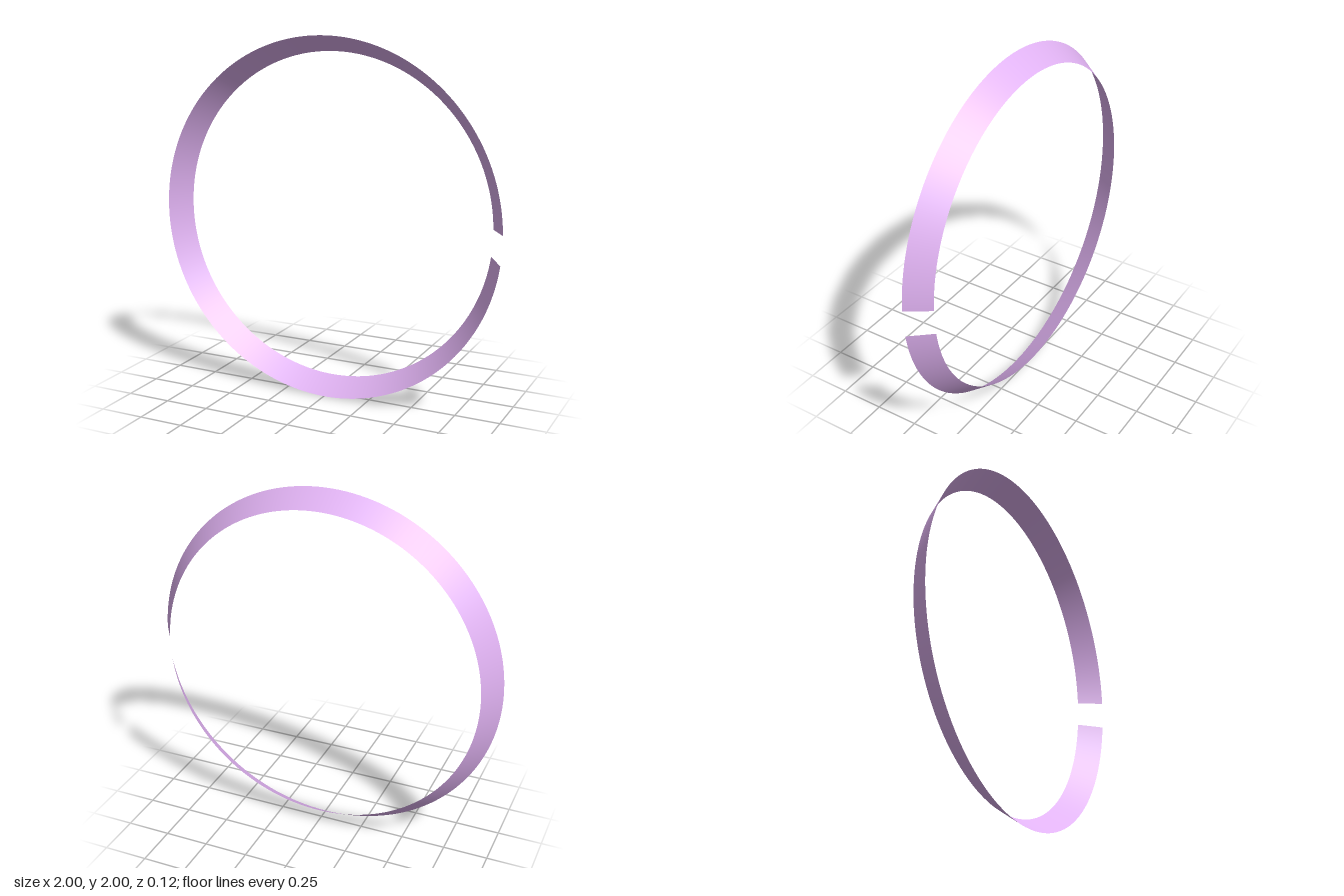
import * as THREE from 'three';

const rad = THREE.MathUtils.degToRad;

export function createModel() {
  const group = new THREE.Group();
  group.name = 'openRing';

  // Thin conical band: narrow edge at the back, wide edge at the front
  const profile = [new THREE.Vector2(0.91, -0.062), new THREE.Vector2(0.998, 0.062)];

  // Sweep leaves a small gap on the +x side, from -7.4 to 1.7 degrees
  const gapTop = 1.7;
  const gapBottom = -7.4;
  const geometry = new THREE.LatheGeometry(
    profile, 160, rad(90 + gapTop), rad(360 - gapTop + gapBottom));

  // Stand the ring upright so its axis runs along z
  geometry.rotateX(Math.PI / 2);
  geometry.translate(0, 1, 0);

  const material = new THREE.MeshStandardMaterial({ color: 0xe0b2f2, side: THREE.DoubleSide });
  const band = new THREE.Mesh(geometry, material);
  band.name = 'band';
  group.add(band);

  return group;
}
